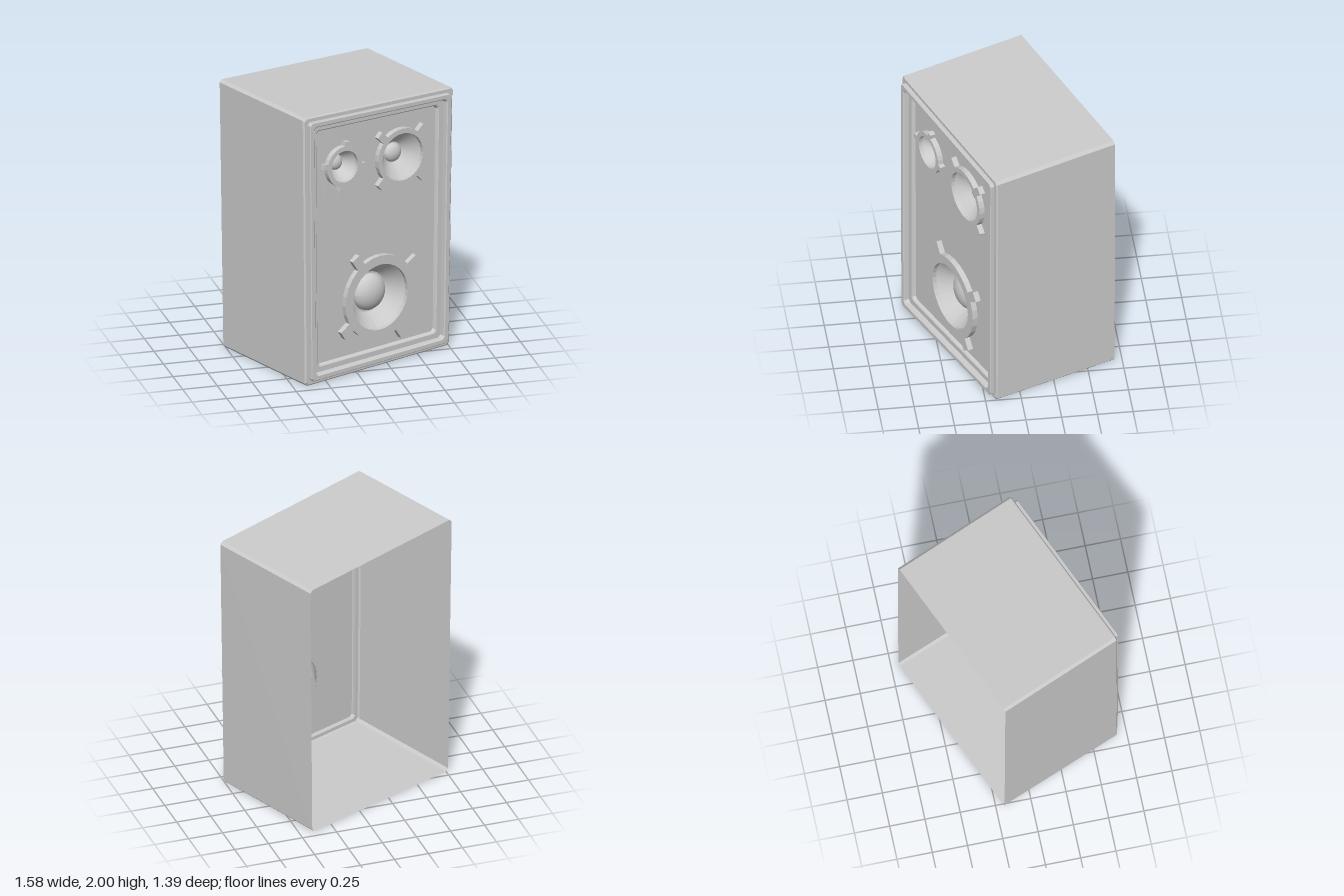
import * as THREE from 'three';

const W = 0.66, H = 2, PANEL_Z = 0.43, RING_Z = 0.47;
const YAW = 0.395;

// Chamfered rectangle outline, counter-clockwise, shrunk by an inset
function outline(inset, c = 0.02) {
  const x = W - inset, b = inset, t = H - inset;
  return [[x, b + c], [x, t - c], [x - c, t], [c - x, t], [-x, t - c], [-x, b + c], [c - x, b], [x - c, b]];
}

// Joins outlines given as [inset, z] into one faceted surface
function loft(profile) {
  const pos = [], idx = [];
  profile.forEach(([inset, z], k) => {
    outline(inset).forEach(([x, y], i) => {
      pos.push(x, y, z);
      if (k === 0) return;
      const j = (i + 1) % 8, lo = (k - 1) * 8, hi = k * 8;
      idx.push(lo + i, lo + j, hi + j, lo + i, hi + j, hi + i);
    });
  });
  const g = new THREE.BufferGeometry();
  g.setAttribute('position', new THREE.Float32BufferAttribute(pos, 3));
  g.setIndex(idx);
  return g.toNonIndexed();
}

// Leaning, tapering warp: top slopes across the width, base is narrower
function warp(g) {
  const p = g.attributes.position;
  const c = Math.cos(YAW), s = Math.sin(YAW);
  for (let i = 0; i < p.count; i++) {
    const x = p.getX(i), z = p.getZ(i);
    const y = p.getY(i) * (0.98 - 0.02 * x / W);
    p.setXYZ(i, (x * c + z * s) * (0.966 + 0.017 * y), y, z * c - x * s);
  }
  g.computeVertexNormals();
  return g;
}

// Driver ring outline with four mounting lugs
function ringShape({ outer, hole, tip, lug, turn }) {
  const pts = [];
  const polar = (r, a) => pts.push(new THREE.Vector2(r * Math.cos(a), r * Math.sin(a)));
  for (let k = 0; k < 4; k++) {
    const a = turn + k * Math.PI / 2, base = lug / outer, end = lug / tip;
    polar(outer, a - base);
    polar(tip, a - end);
    polar(tip, a + end);
    polar(outer, a + base);
    for (let i = 1; i < 6; i++) polar(outer, a + base + (Math.PI / 2 - 2 * base) * i / 6);
  }
  const shape = new THREE.Shape(pts);
  shape.holes.push(new THREE.Path().absarc(0, 0, hole, 0, Math.PI * 2, true));
  return shape;
}

export function createModel() {
  const model = new THREE.Group();
  model.name = 'loudspeaker';
  const mat = new THREE.MeshStandardMaterial({ color: 0xcccccc, side: THREE.DoubleSide });
  const add = (parent, name, g) => {
    const m = new THREE.Mesh(warp(g), mat);
    m.name = name;
    parent.add(m);
  };

  // Cabinet sleeve, open at the back
  add(model, 'cabinet', loft([[0, -0.48], [0, 0.455], [0.01, 0.465], [0.035, 0.465]]));

  // Raised front frame stepping down to the baffle
  add(model, 'frontFrame', loft([
    [0.035, 0.465], [0.035, 0.49], [0.04, 0.495], [0.068, 0.495], [0.075, 0.488],
    [0.078, 0.455], [0.115, 0.455], [0.122, 0.45], [0.13, PANEL_Z]]));

  const drivers = [
    { name: 'woofer', x: 0.02, y: 0.52, outer: 0.315, hole: 0.247, tip: 0.405, lug: 0.036, turn: 0.58, cap: 0.15, depth: 0.14 },
    { name: 'midrange', x: 0.214, y: 1.548, outer: 0.217, hole: 0.18, tip: 0.285, lug: 0.028, turn: 0.785, cap: 0.078, depth: 0.12 },
    { name: 'tweeter', x: -0.3, y: 1.575, outer: 0.152, hole: 0.118, tip: 0.185, lug: 0.02, turn: -0.14, cap: 0.06, depth: 0.11 },
  ];

  // Baffle with a hole for each driver
  const panel = new THREE.Shape(outline(0.13).map(([x, y]) => new THREE.Vector2(x, y)));
  for (const d of drivers) {
    panel.holes.push(new THREE.Path().absarc(d.x, d.y, d.hole, 0, Math.PI * 2, true));
  }
  add(model, 'baffle', new THREE.ShapeGeometry(panel, 16).translate(0, 0, PANEL_Z));

  for (const d of drivers) {
    const group = new THREE.Group();
    group.name = d.name;
    model.add(group);
    const floor = RING_Z - d.depth;

    // Lugged mounting ring
    const ring = new THREE.ExtrudeGeometry(ringShape(d), { depth: RING_Z - PANEL_Z, bevelEnabled: false, curveSegments: 16 });
    add(group, d.name + 'Ring', ring.translate(d.x, d.y, PANEL_Z));

    // Cone narrowing toward the back
    const cone = new THREE.LatheGeometry([
      new THREE.Vector2(d.cap, 0),
      new THREE.Vector2(d.hole, d.depth - 0.03)], 32);
    add(group, d.name + 'Cone', cone.rotateX(Math.PI / 2).translate(d.x, d.y, floor));

    // Flat cone back and domed dust cap
    add(group, d.name + 'Back', new THREE.CircleGeometry(d.cap, 32).translate(d.x, d.y, floor));
    const dome = new THREE.SphereGeometry(d.cap * 0.92, 32, 10, 0, Math.PI * 2, 0, Math.PI / 2);
    dome.scale(1, 0.6, 1).rotateX(Math.PI / 2).translate(d.x, d.y, floor);
    add(group, d.name + 'DustCap', dome);
  }
  return model;
}
